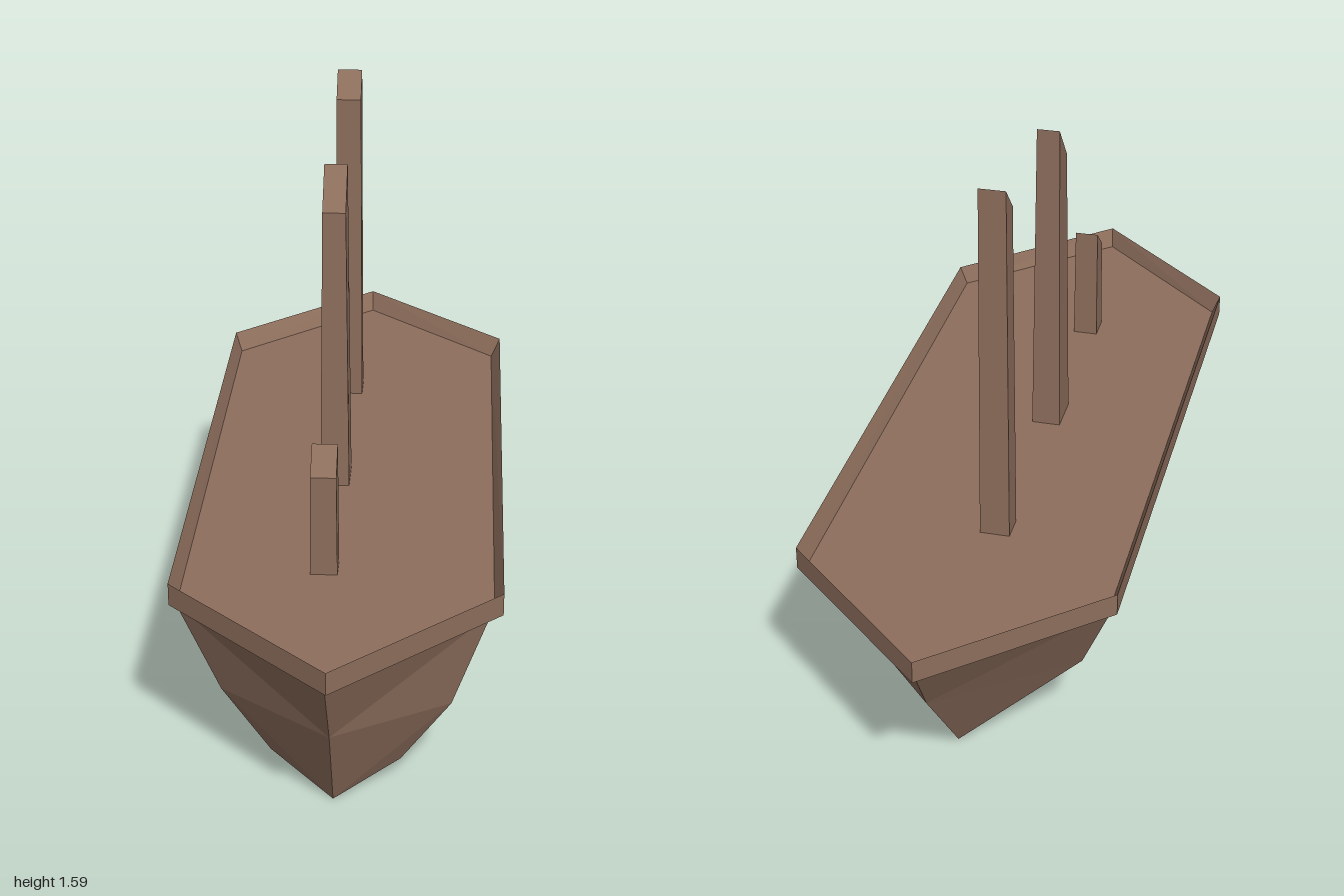
import * as THREE from 'three';

const wood = new THREE.MeshStandardMaterial({ color: 0x8d6e5c, flatShading: true });
wood.name = 'brownWood';

// Builds a mesh from loose triangles, so every facet stays flat
function facets(name, tris) {
  const geometry = new THREE.BufferGeometry();
  geometry.setAttribute('position', new THREE.Float32BufferAttribute(tris.flat(), 3));
  geometry.computeVertexNormals();
  const mesh = new THREE.Mesh(geometry, wood);
  mesh.name = name;
  return mesh;
}

// Joins neighbouring six-cornered rings; the diagonals mirror about the keel
function loft(rings) {
  const tris = [];
  for (let r = 0; r < rings.length - 1; r++) {
    const up = rings[r], low = rings[r + 1];
    for (let i = 0; i < 6; i++) {
      const j = (i + 1) % 6;
      if (i === 1 || i === 4) tris.push(up[i], up[j], low[i], up[j], low[j], low[i]);
      else tris.push(up[i], up[j], low[j], up[i], low[j], low[i]);
    }
  }
  return tris;
}

// Corners run: right stern, stern tip, left stern, left bow, bow tip, right bow
const ring = (y, points) => points.map(([x, z]) => [x, y, z]);
const outline = [[0.17, -0.955], [0.77, -1], [0.875, -0.405], [-0.17, 0.945], [-0.775, 1], [-0.875, 0.395]];
const deckRing = ring(0.525, [[0.17, -0.92], [0.745, -0.965], [0.84, -0.405], [-0.185, 0.925], [-0.76, 0.97], [-0.85, 0.4]]);
const rimTop = ring(0.58, outline);
const rimBottom = ring(0.515, outline);
const hullTop = ring(0.515, [[0.165, -0.925], [0.755, -0.965], [0.84, -0.4], [-0.19, 0.92], [-0.76, 0.97], [-0.855, 0.395]]);
const chine = [[0.19, 0.25, -0.79], [0.67, 0.29, -0.83], [0.68, 0.24, -0.4],
  [-0.28, 0.24, 0.87], [-0.685, 0.29, 0.88], [-0.77, 0.26, 0.48]];
const bilge = [[0.28, 0.07, -0.62], [0.52, 0, -0.68], [0.56, 0.06, -0.4],
  [-0.39, 0.06, 0.79], [-0.6, 0, 0.77], [-0.67, 0.075, 0.57]];

// Mast with a taper and a top that slopes down towards the bow
function mast(name, x, z, width, depth, lowTop, highTop, taper) {
  const base = 0.52;
  const geometry = new THREE.BoxGeometry(width, 1, depth);
  const p = geometry.attributes.position;
  for (let i = 0; i < p.count; i++) {
    const top = p.getY(i) > 0, bow = p.getZ(i) > 0;
    if (top) p.setXYZ(i, p.getX(i) * taper, bow ? lowTop : highTop, p.getZ(i) * taper);
    else p.setY(i, base);
  }
  geometry.computeVertexNormals();
  const mesh = new THREE.Mesh(geometry, wood);
  mesh.name = name;
  mesh.position.set(x, 0, z);
  mesh.rotation.y = -0.657;
  return mesh;
}

export function createModel() {
  const ship = new THREE.Group();
  ship.name = 'ship';

  // Hull with a shallow V bottom along the keel
  const [a, b, c, d, e, f] = bilge;
  ship.add(facets('hull', [...loft([hullTop, chine, bilge]), b, c, d, b, d, e, e, f, a, e, a, b]));

  // Rim around the hull, sloping inwards to the deck
  ship.add(facets('rim', loft([deckRing, rimTop, rimBottom, hullTop])));

  // Deck
  const deck = [];
  for (let i = 0; i < 6; i++) deck.push([0, 0.525, 0], deckRing[(i + 1) % 6], deckRing[i]);
  ship.add(facets('deck', deck));

  // Masts from bow to stern
  ship.add(mast('frontMast', -0.428, 0.478, 0.075, 0.08, 0.82, 0.885, 0.94));
  ship.add(mast('middleMast', -0.09, 0.035, 0.085, 0.125, 1.375, 1.487, 0.78));
  ship.add(mast('rearMast', 0.3, -0.462, 0.085, 0.08, 1.51, 1.585, 0.88));
  return ship;
}
